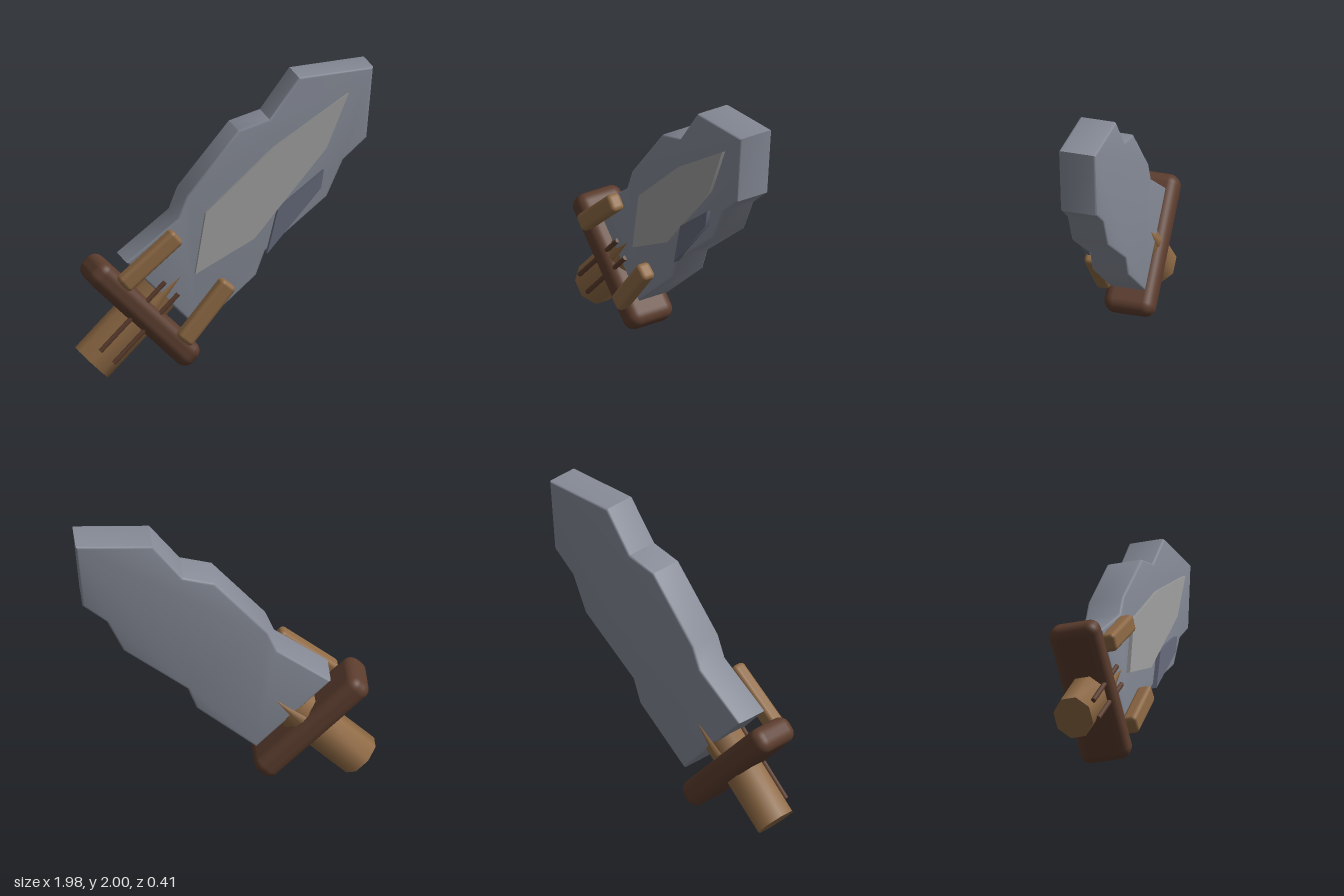
import * as THREE from 'three';
import { RoundedBoxGeometry } from 'three/addons/geometries/RoundedBoxGeometry.js';
import { toCreasedNormals } from 'three/addons/utils/BufferGeometryUtils.js';

const paint = (color) => new THREE.MeshStandardMaterial({ color });

export function createModel() {
  const model = new THREE.Group();
  const steel = paint(0x858a96);
  const paleSteel = paint(0xa0a0a0);
  const blueSteel = paint(0x666a7c);
  const wood = paint(0x8f6a45);
  const darkWood = paint(0x5c3d2e);

  function add(name, geometry, material, x = 0, y = 0, z = 0, angle = 0) {
    const mesh = new THREE.Mesh(geometry, material);
    mesh.name = name;
    mesh.position.set(x, y, z);
    mesh.rotation.z = angle;
    model.add(mesh);
    return mesh;
  }

  // Plate with the given outline, filling z0 to z1
  function plate(name, points, material, z0, z1, bevel = 0) {
    const shape = new THREE.Shape(points.map(([x, y]) => new THREE.Vector2(x, y)));
    const geometry = new THREE.ExtrudeGeometry(shape, {
      depth: z1 - z0 - 2 * bevel,
      bevelEnabled: bevel > 0,
      bevelSize: bevel,
      bevelThickness: bevel,
      bevelOffset: -bevel,
      bevelSegments: 3,
    });
    return add(name, toCreasedNormals(geometry, 0.6), material, 0, 0, z0 + bevel);
  }

  // Broad blade with a notched edge
  plate('blade', [
    [-0.2, 0.3], [0.19, 0.64], [0.25, 0.8], [0.67, 1.14], [0.78, 1.38], [0.94, 1.52],
    [0.985, 2.0], [0.48, 1.97], [0.28, 1.7], [0.07, 1.64], [-0.28, 1.22], [-0.34, 1.07], [-0.69, 0.8],
  ], steel, -0.16, 0.09, 0.016);

  // Raised panels on the front of the blade
  plate('centrePanel', [
    [-0.23, 0.69], [0.17, 0.9], [0.66, 1.48], [0.81, 1.84], [0.3, 1.51], [-0.16, 1.1],
  ], paleSteel, 0.08, 0.115);
  plate('edgePanel', [[0.255, 0.79], [0.62, 1.21], [0.64, 1.33], [0.33, 1.09]], blueSteel, 0.08, 0.12);

  // Cross guard
  add('guard', new RoundedBoxGeometry(0.96, 0.18, 0.34, 4, 0.07), darkWood, -0.565, 0.43, -0.035, -Math.PI / 4);

  // Wooden bars clamping the blade to the guard
  add('leftClamp', new RoundedBoxGeometry(0.49, 0.12, 0.1, 3, 0.03), wood, -0.17, 0.44, 0.15, 0.88);
  add('rightClamp', new RoundedBoxGeometry(0.49, 0.12, 0.1, 3, 0.03), wood, -0.55, 0.825, 0.15, 0.7);

  // Eight-sided handle
  const handleGeometry = new THREE.CylinderGeometry(0.148, 0.148, 0.66, 8);
  handleGeometry.rotateY(Math.PI / 8);
  handleGeometry.scale(1, 1, 0.91);
  add('handle', toCreasedNormals(handleGeometry, 0.9), wood, -0.66, 0.33, -0.035, -Math.PI / 4);

  // Thin splinters of the handle lying on both faces of the blade
  for (const z of [0.09, -0.16]) {
    const spike = new THREE.ConeGeometry(0.04, 0.26, 6);
    spike.scale(1, 1, 0.5);
    add('spike', spike, wood, -0.412, 0.588, z, -Math.PI / 4);
  }

  // Paired rods running along the handle and through the guard
  for (const [x, y] of [[-0.65, 0.43], [-0.56, 0.34]]) {
    add('rod', new THREE.CylinderGeometry(0.017, 0.017, 0.62, 8), darkWood, x, y, 0.095, -Math.PI / 4);
  }

  return model;
}
